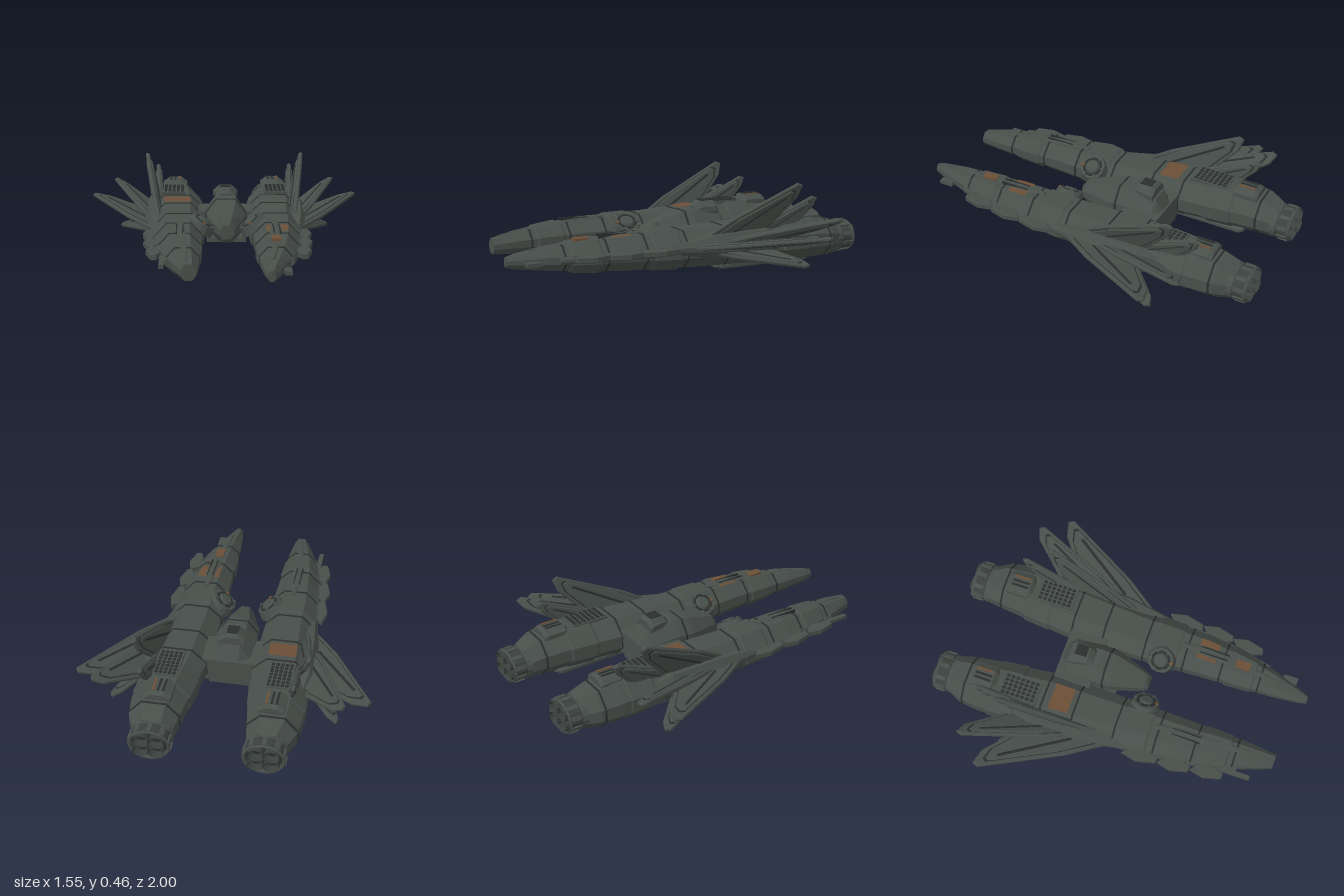
import * as THREE from 'three';
import { mergeGeometries } from 'three/addons/utils/BufferGeometryUtils.js';

const paint = (name, color) => {
  const m = new THREE.MeshStandardMaterial({ color });
  m.name = name;
  return m;
};

// Flat-shaded geometry, optionally mirrored across x
function facet(geo, side = 1) {
  const g = geo.index ? geo.toNonIndexed() : geo.clone();
  if (side < 0) {
    const p = g.attributes.position, a = new THREE.Vector3(), b = new THREE.Vector3();
    g.scale(-1, 1, 1);
    for (let i = 0; i < p.count; i += 3) {
      a.fromBufferAttribute(p, i + 1);
      b.fromBufferAttribute(p, i + 2);
      p.setXYZ(i + 1, b.x, b.y, b.z);
      p.setXYZ(i + 2, a.x, a.y, a.z);
    }
  }
  g.computeVertexNormals();
  return g;
}

// Skin through rings ordered counterclockwise seen from +z, with z rising
function loft(rings, closed = true) {
  const v = [], n = rings[0].length, tri = (...p) => p.forEach(q => v.push(...q));
  for (let i = 0; i + 1 < rings.length; i++) {
    for (let j = 0; j < (closed ? n : n - 1); j++) {
      const k = (j + 1) % n, lo = rings[i], hi = rings[i + 1];
      tri(lo[j], lo[k], hi[k]);
      tri(lo[j], hi[k], hi[j]);
    }
  }
  if (closed) {
    const f = rings[0], l = rings[rings.length - 1];
    for (let j = 1; j + 1 < n; j++) {
      tri(f[0], f[j + 1], f[j]);
      tri(l[0], l[j], l[j + 1]);
    }
  }
  const g = new THREE.BufferGeometry();
  g.setAttribute('position', new THREE.Float32BufferAttribute(v, 3));
  return g;
}

// Chamfered eight-sided cross-section
function ring(z, x0, x1, y0, y1, g = 0) {
  x0 -= g; x1 += g; y0 -= g; y1 += g;
  const X = t => x0 + (x1 - x0) * t, Y = t => y0 + (y1 - y0) * t;
  return [[x1, Y(.32), z], [x1, Y(.64), z], [X(.74), y1, z], [X(.26), y1, z],
    [x0, Y(.66), z], [x0, Y(.34), z], [X(.26), y0, z], [X(.74), y0, z]];
}

const box = (x0, x1, y0, y1, z0, z1) => new THREE.BoxGeometry(x1 - x0, y1 - y0, z1 - z0)
  .translate((x0 + x1) / 2, (y0 + y1) / 2, (z0 + z1) / 2);
const zTube = (r0, r1, len, n, open = false) =>
  new THREE.CylinderGeometry(r0, r1, len, n, 1, open).rotateX(Math.PI / 2);

// Hull stations: z, inner x, outer x, bottom, top
const stations = [
  [-.9, .19, .39, .035, .205], [-.82, .175, .43, .03, .235], [-.7, .16, .445, .03, .25],
  [-.36, .122, .43, .03, .25], [0, .125, .4, .037, .235], [.4, .138, .375, .055, .235],
  [.6, .145, .345, .068, .22], [.8, .152, .29, .085, .2], [.95, .165, .235, .1, .175], [1, .175, .215, .11, .162]];
function hullAt(z, grow = 0) {
  let i = 0;
  while (i < stations.length - 2 && z > stations[i + 1][0]) i++;
  const a = stations[i], b = stations[i + 1], t = (z - a[0]) / (b[0] - a[0]);
  return ring(z, ...[1, 2, 3, 4].map(k => a[k] + (b[k] - a[k]) * t), grow);
}
const topPatch = (z0, z1, trim = 0) => loft([0, 1, 2, 3, 4].map(i => {
  const [p, q] = hullAt(z0 + (z1 - z0) * i / 4, .003).slice(2, 4), w = (p[0] - q[0]) * trim;
  return [[p[0] - w, p[1], p[2]], [q[0] + w, q[1], q[2]]];
}), false);

// Wing blade lying in the plane of z and a spoke at the given angle
function blade(pts, degrees, depth, shrink = 1) {
  const cx = pts.reduce((s, p) => s + p[0], 0) / pts.length;
  const cz = pts.reduce((s, p) => s + p[1], 0) / pts.length;
  const shape = new THREE.Shape(pts.map(([r, z]) =>
    new THREE.Vector2(cx + (r - cx) * shrink, cz + (z - cz) * shrink)));
  const b = .006, a = degrees * Math.PI / 180, c = Math.cos(a), s = Math.sin(a);
  const g = new THREE.ExtrudeGeometry(shape, { depth: depth - 2 * b, bevelThickness: b, bevelSize: b, bevelOffset: -b, bevelSegments: 1 });
  g.translate(0, 0, b - depth / 2);
  const m = new THREE.Matrix4().makeBasis(new THREE.Vector3(c, s, 0), new THREE.Vector3(0, 0, 1), new THREE.Vector3(s, -c, 0));
  return g.applyMatrix4(m.setPosition(.36, .14, 0));
}
// Spoke angle, tip reach, tip z, root z
const blades = [
  ['uprightFin', 74, .335, -.6, .06], ['rearUprightFin', 82, .235, -.73, -.2],
  ['upperWing', 26, .325, -.73, 0], ['mainWing', 10, .42, -.6, .12], ['lowerWing', -23, .27, -.56, .05]];

export function createModel() {
  const root = new THREE.Group();
  root.name = 'twinHullShip';
  const plate = paint('grey green plating', 0x484f4b);
  const dark = paint('dark seams', 0x2a2f2d);
  const rust = paint('rust brown', 0x6b4e37);
  rust.side = THREE.DoubleSide;
  const tubeMat = paint('engine metal', 0x3a403d);
  tubeMat.side = THREE.DoubleSide;

  for (const side of [1, -1]) {
    const half = new THREE.Group();
    half.name = side > 0 ? 'leftHalf' : 'rightHalf';
    root.add(half);
    const add = (name, geo, mat = plate) => {
      const m = new THREE.Mesh(facet(geo, side), mat);
      m.name = name;
      half.add(m);
    };

    // Hull; the right nose is cut shorter
    const nose = side > 0 ? 1 : .93;
    const zs = stations.map(s => s[0]).filter(z => z < nose).concat(nose);
    add('hull', loft(zs.map(z => hullAt(z))));
    for (const z of [-.8, -.36, -.18, .06, .29, .5, .72])
      add('panelSeam', loft([hullAt(z - .005, .003), hullAt(z + .005, .003)]), dark);
    for (const z of [-.58, .17, .61])
      add('armourBand', loft([hullAt(z - .08, .001), hullAt(z - .07, .007), hullAt(z + .07, .007), hullAt(z + .08, .001)]));
    add('noseSpine', loft([[.26, .012], [.4, .03], [.62, .026], [.88, .006]].map(([z, w]) => {
      const y = hullAt(z)[2][1], x = .25 - Math.max(0, z - .4) * .08;
      return ring(z, x - w, x + w, y - .01, y + .009);
    })));
    for (const dx of [-.016, .016])
      add('spineSlot', box(.247 + dx, .253 + dx, .2, .246, .36, .52), dark);

    // Rust patches
    if (side < 0) add('rustPatch', topPatch(-.32, -.21), rust);
    else {
      add('rustPatch', topPatch(.35, .46), rust);
      add('smallRustPatch', box(.215, .262, .2, .236, .57, .65), rust);
    }

    // Roof module, slots and grille
    add('roofModule', loft([ring(-.78, .225, .355, .21, .272), ring(-.76, .22, .36, .21, .284), ring(-.65, .22, .36, .21, .284), ring(-.63, .23, .35, .21, .26)]));
    for (let i = 0; i < 3; i++)
      add('roofSlot', box(.258 + i * .026, .27 + i * .026, .28, .288, -.755, -.66), i === (side > 0 ? 2 : 0) ? rust : dark);
    add('grilleBase', box(.228, .362, .24, .264, -.6, -.39));
    const cells = [];
    for (let i = 0; i < 5; i++) for (let j = 0; j < 7; j++)
      cells.push(box(.238 + i * .024, .254 + i * .024, .262, .268, -.59 + j * .028, -.572 + j * .028));
    add('grilleCells', mergeGeometries(cells), dark);

    // Belly pad
    add('bellyPad', loft([ring(-.72, .215, .33, .012, .05), ring(-.7, .2, .345, 0, .05), ring(-.17, .2, .345, 0, .05), ring(-.15, .215, .33, .012, .05)]));

    // Engine housing and four nozzles
    const place = g => g.scale(1, .8, 1).translate(.29, .118, 0);
    add('engineCollar', place(zTube(.112, .108, .03, 20).translate(0, 0, -.895)));
    add('engineHousing', place(zTube(.106, .106, .09, 20, true).translate(0, 0, -.945)), tubeMat);
    add('engineRim', place(new THREE.TorusGeometry(.103, .008, 6, 20).translate(0, 0, -.98)));
    add('engineBack', place(zTube(.1, .1, .02, 20).translate(0, 0, -.94)), dark);
    for (let i = 0; i < 4; i++) {
      const a = (i + .5) * Math.PI / 2, x = .055 * Math.cos(a), y = .055 * Math.sin(a);
      add('nozzle', place(zTube(.034, .043, .07, 12, true).translate(x, y, -.965)), tubeMat);
      add('nozzleCore', place(zTube(.03, .03, .02, 12).translate(x, y, -.95)), dark);
    }
    for (let i = 0; i < 10; i++) {
      const a = i * Math.PI / 5;
      add('engineClamp', place(box(-.012, .012, .1, .114, -.975, -.92).rotateZ(a)));
    }

    // Wing root fairing and fan of blades
    add('wingRoot', loft([ring(-.55, .36, .42, .11, .18), ring(-.4, .34, .465, .08, .225), ring(-.1, .34, .445, .09, .215), ring(.16, .36, .4, .13, .17)]));
    for (const [name, deg, R, tip, z0] of blades) {
      const L = tip - z0;
      const pts = [[0, z0], [R * .46, z0 + L * .38], [R, tip + .03], [R * .96, tip], [R * .76, tip + .02], [R * .25, z0 + L * .74], [0, z0 + L * .55]];
      add(name, blade(pts, deg, .022));
      add(name + 'Inset', blade(pts, deg, .027, .84), dark);
      add(name + 'Panel', blade(pts, deg, .036, .78));
      const rib = [[R * .2, z0 + L * .38], [R * .24, z0 + L * .36], [R * .8, z0 + L * .84], [R * .76, z0 + L * .86]];
      add(name + 'Rib', blade(rib, deg, .042), dark);
    }

    // Leaf plates along the outer edge
    for (const [x, z, len] of [[.375, .13, .2], [.365, .33, .18], [.345, .51, .18]]) {
      const s = new THREE.Shape([[0, .25], [.055, 0], [.075, .45], [.05, .97], [.02, 1], [0, .7]]
        .map(([u, v]) => new THREE.Vector2(x + u, -(z + v * len))));
      add('sidePlate', new THREE.ExtrudeGeometry(s, { depth: .024, bevelSize: .004, bevelThickness: .004, bevelOffset: -.004, bevelSegments: 1 })
        .rotateX(-Math.PI / 2).translate(0, .14, 0));
    }
    add('sideRail', loft([ring(.2, .36, .402, .12, .17), ring(.45, .35, .385, .12, .17), ring(.75, .29, .32, .12, .16)]));
    if (side > 0) add('noseProbe', box(.262, .3, .12, .14, .84, .92));
    else add('sideProbe', box(.325, .35, .13, .15, .58, .83));

    // Round turret tilted inward
    const disc = (r0, r1, h, lift) => new THREE.CylinderGeometry(r0, r1, h, 16).translate(0, lift, 0)
      .rotateZ(Math.PI / 5).translate(.145, .19, .17);
    add('turretDrum', disc(.07, .085, .05, .01));
    add('turretGroove', disc(.056, .056, .006, .036), dark);
    add('turretCap', disc(.03, .045, .014, .042));
    for (let i = 0; i < 6; i++)
      add('turretLug', box(-.008, .008, .03, .042, .05, .07).rotateY(i * Math.PI / 3)
        .rotateZ(Math.PI / 5).translate(.145, .19, .17), i === 0 ? rust : plate);
    add('bridgeStrut', box(.08, .17, .1, .2, -.33, -.15));
  }

  const put = (name, geo, mat = plate) => {
    const m = new THREE.Mesh(facet(geo), mat);
    m.name = name;
    root.add(m);
  };
  // Central bridge between the hulls
  const sym = (z, w, y0, y1, g = 0) => ring(z, -w, w, y0, y1, g);
  put('bridge', loft([sym(-.35, .09, .08, .2), sym(-.31, .1, .065, .27), sym(-.14, .112, .065, .29), sym(-.05, .108, .065, .275), sym(.13, .048, .09, .215), sym(.15, .038, .11, .19)]));
  put('bridgeSeam', loft([sym(-.1, .112, .066, .284, .002), sym(-.09, .112, .066, .282, .002)]), dark);
  put('crossDeck', box(-.17, .17, .07, .2, -.36, -.15));
  put('bellyPlate', box(-.11, .11, .055, .08, -.36, -.02));
  put('bellyHatch', new THREE.CylinderGeometry(.05, .05, .01, 16).translate(0, .054, -.2), dark);
  put('roofCabin', loft([sym(-.3, .07, .24, .315), sym(-.28, .07, .24, .328), sym(-.2, .055, .24, .328), sym(-.17, .05, .24, .3)]));
  put('cabinHatch', box(-.03, .03, .324, .332, -.275, -.21), dark);
  return root;
}
